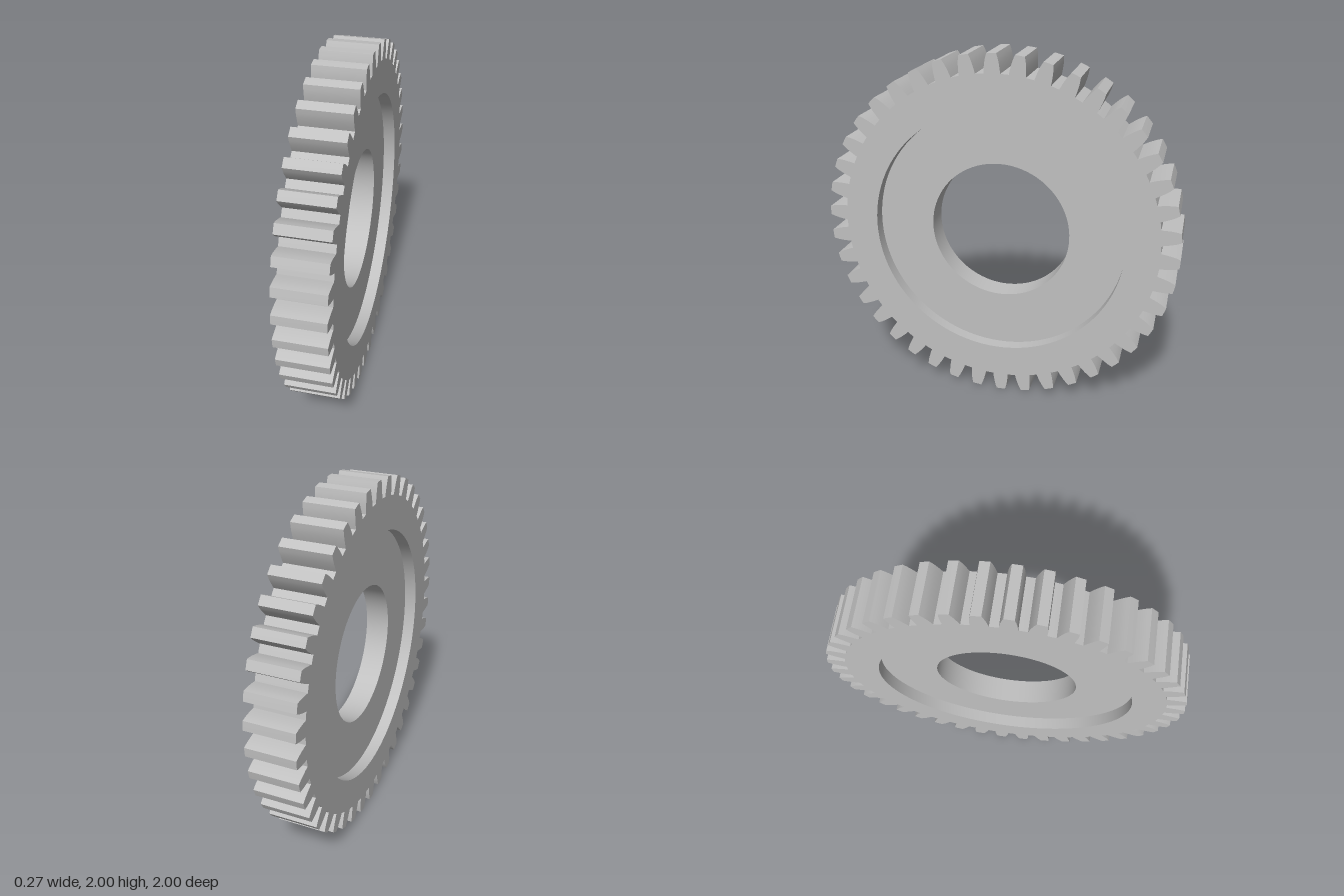
import * as THREE from 'three';
import { toCreasedNormals } from 'three/addons/utils/BufferGeometryUtils.js';

const TEETH = 42;
const PHASE = -1.4 * Math.PI / 180; // angle of the first tooth from the top
const HALF = 0.137;                 // half thickness of the rim
const WEB = 0.068;                  // half thickness of the recessed web
const RECESS_R = 0.711;
const BORE_R = 0.395;

// one flank of a tooth: [radius, half width], root to tip
const FLANK = [[0.897, 0.0445], [0.92, 0.0425], [0.95, 0.0385], [0.975, 0.0335], [1, 0.026]];

// closed gear outline, clockwise from the top
function gearOutline() {
  const points = [];
  const pitch = Math.PI * 2 / TEETH;
  const add = (r, a) => points.push(new THREE.Vector2(r * Math.sin(a), r * Math.cos(a)));
  for (let i = 0; i < TEETH; i++) {
    const a = PHASE + i * pitch;
    for (const [r, w] of FLANK) add(r, a - w / r);
    add(1, a);
    for (const [r, w] of [...FLANK].reverse()) add(r, a + w / r);
    add(FLANK[0][0], a + pitch / 2);
  }
  return points;
}

// flat side of the rim, from the recess edge to the tooth tips
function rimFace(outline, side) {
  const shape = new THREE.Shape(outline.map(p => new THREE.Vector2(p.x * side, p.y)));
  shape.holes.push(new THREE.Path().absarc(0, 0, RECESS_R, 0, Math.PI * 2));
  const geometry = new THREE.ShapeGeometry(shape, 48);
  if (side < 0) geometry.rotateY(Math.PI);
  return geometry.translate(0, 0, side * HALF);
}

// wall running around all the teeth
function toothWall(outline) {
  const positions = [];
  outline.forEach((a, i) => {
    const b = outline[(i + 1) % outline.length];
    positions.push(
      a.x, a.y, -HALF, a.x, a.y, HALF, b.x, b.y, HALF,
      a.x, a.y, -HALF, b.x, b.y, HALF, b.x, b.y, -HALF);
  });
  const geometry = new THREE.BufferGeometry();
  geometry.setAttribute('position', new THREE.Float32BufferAttribute(positions, 3));
  return toCreasedNormals(geometry, 0.5);
}

// recess walls, web faces and bore turned as one profile
function hubSurface() {
  const profile = [
    [RECESS_R, HALF], [RECESS_R, WEB], [BORE_R, WEB],
    [BORE_R, -WEB], [RECESS_R, -WEB], [RECESS_R, -HALF],
  ].map(([r, y]) => new THREE.Vector2(r, y));
  const geometry = new THREE.LatheGeometry(profile, 96).rotateX(Math.PI / 2);
  return toCreasedNormals(geometry, 0.5);
}

export function createModel() {
  const steel = new THREE.MeshStandardMaterial({ color: 0xc0c0c0 });
  steel.name = 'steel grey';

  const group = new THREE.Group();
  group.name = 'spurGear';
  const outline = gearOutline();
  const add = (name, geometry) => {
    geometry.rotateY(Math.PI / 2); // axle along x
    const mesh = new THREE.Mesh(geometry, steel);
    mesh.name = name;
    mesh.position.y = 1;
    group.add(mesh);
  };

  add('teeth', toothWall(outline));
  add('leftRimFace', rimFace(outline, 1));
  add('rightRimFace', rimFace(outline, -1));
  add('webAndBore', hubSurface());
  return group;
}
